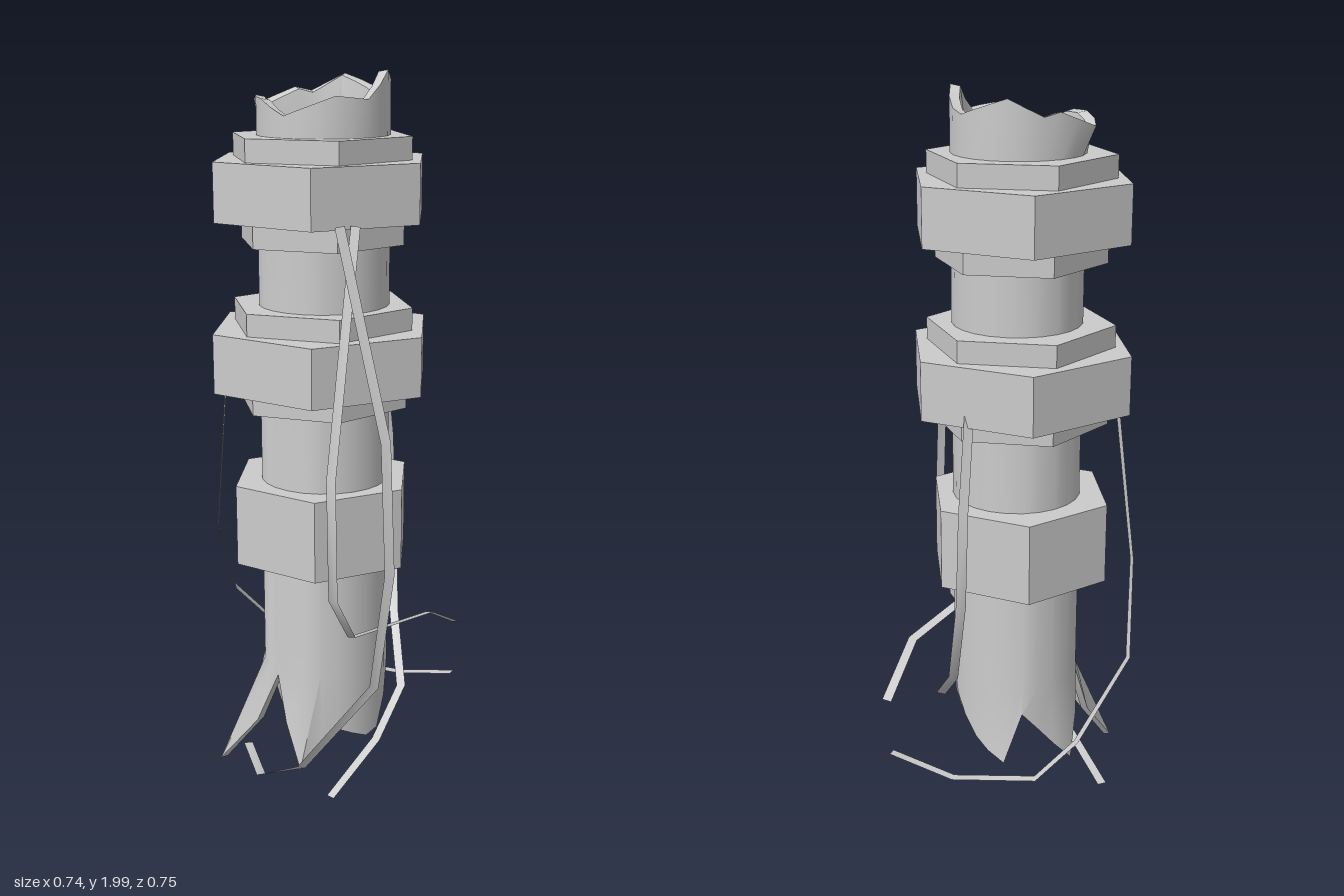
import * as THREE from 'three';
import { toCreasedNormals } from 'three/addons/utils/BufferGeometryUtils.js';

const CX = -0.06, CZ = -0.03;
const material = new THREE.MeshStandardMaterial({ color: 0xcccccc, side: THREE.DoubleSide });
const facetedMaterial = new THREE.MeshStandardMaterial({ color: 0xcccccc, flatShading: true });

// Linear interpolation through [angle in degrees, value] keys around the circle
function around(keys, deg) {
  for (let i = 0; i < keys.length - 1; i++) {
    const [a, va] = keys[i], [b, vb] = keys[i + 1];
    if (deg >= a && deg <= b) return va + (vb - va) * (deg - a) / (b - a);
  }
  return keys[0][1];
}

// Torn edges: angle runs from +x towards +z
const BOTTOM = [[0, 0.3], [15, 0.36], [30, 0.26], [45, 0.18], [60, 0.17], [90, 0.21], [120, 0.1],
  [150, 0.35], [165, 0.2], [180, 0.06], [195, 0.2], [210, 0.36], [240, 0.13], [285, 0.3],
  [300, 0.15], [330, 0.2], [360, 0.3]];
const FLARE = [[0, 0], [105, 0], [120, 0.04], [150, 0], [165, 0.04], [180, 0.135], [195, 0.04],
  [210, 0], [240, 0.03], [270, 0], [300, 0.025], [330, 0], [360, 0]];
const TOP = [[0, 1.95], [30, 2.0], [60, 1.93], [90, 1.94], [135, 1.89], [165, 1.93], [195, 1.935],
  [225, 1.91], [255, 1.95], [270, 1.94], [300, 1.985], [345, 1.94], [360, 1.95]];
const TOP_FLARE = [[0, 0], [195, 0], [225, 0.035], [255, 0], [360, 0]];

// Hollow pipe: rows run up the outside, over the torn rim and down the squarish bore
function makePipe() {
  const R = 0.176, N = 24;
  const bore = (deg) => {
    const a = THREE.MathUtils.degToRad(((deg + 45 + 5) % 90 + 90) % 90 - 45);
    return 0.1 / Math.cos(a);
  };
  const rows = [
    (d) => [R + around(FLARE, d), around(BOTTOM, d)],
    () => [R, 0.37],
    () => [R, 1.83],
    (d) => [R + around(TOP_FLARE, d), around(TOP, d)],
    (d) => [0.15 + around(TOP_FLARE, d), around(TOP, d) - 0.005],
    (d) => [bore(d), 1.68],
    (d) => [bore(d), 0.55],
    () => [0.152, 0.4],
    (d) => [R - 0.02 + around(FLARE, d), around(BOTTOM, d) + 0.005],
  ];
  const positions = [], index = [];
  rows.forEach((row) => {
    for (let i = 0; i < N; i++) {
      const deg = i * 360 / N, t = THREE.MathUtils.degToRad(deg);
      const [r, y] = row(deg);
      positions.push(CX + r * Math.cos(t), y, CZ + r * Math.sin(t));
    }
  });
  for (let j = 0; j < rows.length; j++) {
    const k = (j + 1) % rows.length;
    for (let i = 0; i < N; i++) {
      const n = (i + 1) % N;
      const a = j * N + i, b = j * N + n, c = k * N + n, d = k * N + i;
      index.push(a, d, b, b, d, c);
    }
  }
  const g = new THREE.BufferGeometry();
  g.setAttribute('position', new THREE.Float32BufferAttribute(positions, 3));
  g.setIndex(index);
  return toCreasedNormals(g, 0.6);
}

// Hexagonal band with a hole for the pipe
function makeBand(name, radius, y0, y1, turn) {
  const inner = 0.166;
  const profile = [[inner, y0], [radius, y0], [radius, y1], [inner, y1], [inner, y0]]
    .map(([x, y]) => new THREE.Vector2(x, y));
  const mesh = new THREE.Mesh(new THREE.LatheGeometry(profile, 6, turn, Math.PI * 2), facetedMaterial);
  mesh.position.set(-0.065, 0, -0.039);
  mesh.name = name;
  return mesh;
}

// Flat ribbon along a polyline; its width direction blends from one end to the other
function makeRibbon(points, from, to, width = 0.026) {
  const pts = points.map((p) => new THREE.Vector3(...p));
  const start = new THREE.Vector3(...from).normalize(), end = new THREE.Vector3(...to).normalize();
  const positions = [], index = [];
  pts.forEach((p, i) => {
    const tangent = pts[Math.min(i + 1, pts.length - 1)].clone().sub(pts[Math.max(i - 1, 0)]).normalize();
    const side = start.clone().lerp(end, i / (pts.length - 1));
    side.addScaledVector(tangent, -side.dot(tangent)).setLength(width / 2);
    positions.push(...p.clone().add(side).toArray(), ...p.clone().sub(side).toArray());
    if (i) index.push(2 * i - 2, 2 * i - 1, 2 * i, 2 * i - 1, 2 * i + 1, 2 * i);
  });
  const g = new THREE.BufferGeometry();
  g.setAttribute('position', new THREE.Float32BufferAttribute(positions, 3));
  g.setIndex(index);
  g.computeVertexNormals();
  return g;
}

export function createModel() {
  const model = new THREE.Group();
  model.name = 'brokenPipe';
  const add = (geometry, name) => {
    const mesh = new THREE.Mesh(geometry, material);
    mesh.name = name;
    model.add(mesh);
  };

  add(makePipe(), 'tornPipe');

  // Collars: wide turned hexagon, with narrower hexagons above and below
  const turned = Math.PI / 4;
  [['upper', 0.305, 1.62, 1.775, 1.835, 1.555, 0.25, 0.23],
    ['middle', 0.316, 1.17, 1.33, 1.39, 1.115, 0.255, 0.24]].forEach(([n, r, y0, y1, top, base, rTop, rBase]) => {
    model.add(makeBand(n + 'Collar', r, y0, y1, turned));
    model.add(makeBand(n + 'CollarTopStep', rTop, y1, top, 0));
    model.add(makeBand(n + 'CollarBottomStep', rBase, base, y0, 0));
  });
  model.add(makeBand('lowerCollar', 0.26, 0.68, 0.905, turned));

  // Loose wires hanging from the collars
  add(makeRibbon([[-0.07, 1.63, 0.245], [0.025, 1.1, 0.36], [0.035, 0.75, 0.37], [0, 0.43, 0.35],
    [-0.18, 0.16, 0.25], [-0.27, 0.06, 0.09], [-0.27, 0.01, -0.2]], [1, 0, 0], [1, 0, 0]), 'frontWireLong');
  add(makeRibbon([[-0.03, 1.63, 0.245], [-0.11, 1.0, 0.33], [-0.1, 0.66, 0.3], [-0.03, 0.51, 0.2],
    [0.24, 0.48, 0], [0.36, 0.38, -0.14]], [0.8, 0, 0.5], [0.7, 0.2, 0.6]), 'frontWireShort');
  add(makeRibbon([[0.14, 1.2, -0.21], [0.175, 0.95, -0.26], [0.19, 0.7, -0.28], [0.17, 0.42, -0.15],
    [0.15, 0.27, 0.03], [0.05, 0.17, 0.15], [-0.1, 0.06, 0.25]], [1, 0, 0], [0.5, 0, 0.85]), 'leftWire');
  add(makeRibbon([[-0.32, 1.18, -0.11], [-0.345, 0.72, -0.19], [-0.285, 0.48, -0.31], [-0.11, 0.28, -0.365],
    [0.01, 0.19, -0.365], [0.21, 0.175, -0.26], [0.35, 0.215, -0.14]], [0, 0, 1], [-0.45, 0, 0.9]), 'backWire');

  return model;
}
